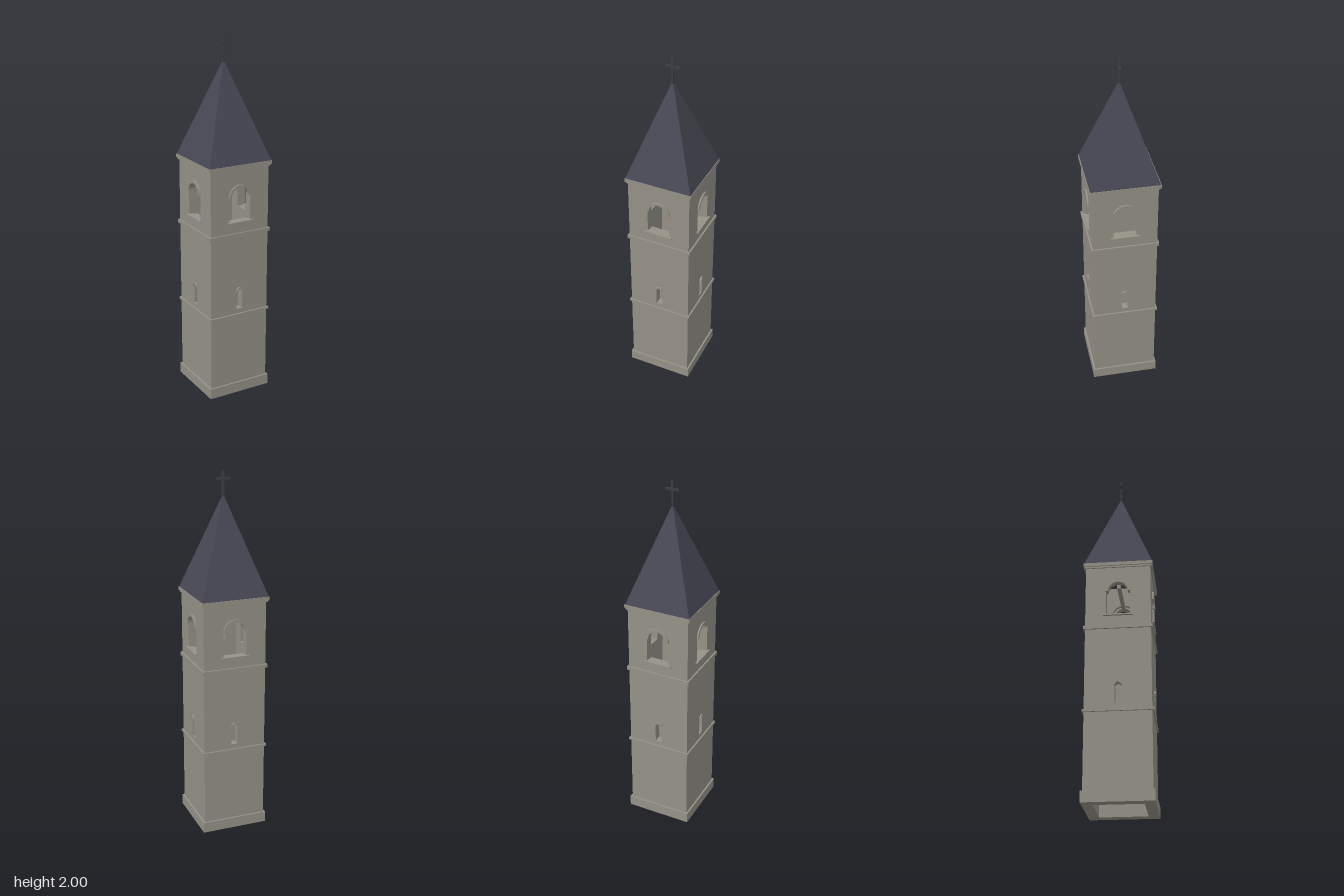
import * as THREE from 'three';

const OUT = 0.178, IN = 0.13;

export function createModel() {
  const stone = new THREE.MeshStandardMaterial({ color: 0x959187 });
  stone.name = 'stone';
  const slate = new THREE.MeshStandardMaterial({ color: 0x484856 });
  slate.name = 'slate';
  const iron = new THREE.MeshStandardMaterial({ color: 0x3c3c48 });
  iron.name = 'iron';

  const tower = new THREE.Group();
  tower.name = 'bellTower';

  const add = (parent, name, geometry, material, x = 0, y = 0, z = 0) => {
    const mesh = new THREE.Mesh(geometry, material);
    mesh.name = name;
    mesh.position.set(x, y, z);
    parent.add(mesh);
    return mesh;
  };
  const extrude = (shape, depth, curveSegments = 6) =>
    new THREE.ExtrudeGeometry(shape, { depth, bevelEnabled: false, curveSegments });

  // Round-headed opening outline; spring is the height where the arch begins
  const archPath = (r, bottom, spring) => {
    const p = new THREE.Path();
    p.moveTo(-r, bottom);
    p.lineTo(r, bottom);
    p.lineTo(r, spring);
    p.absarc(0, spring, r, 0, Math.PI, false);
    p.lineTo(-r, bottom);
    return p;
  };
  const rect = (shape, w, y0, y1) => {
    shape.moveTo(-w, y0);
    shape.lineTo(w, y0);
    shape.lineTo(w, y1);
    shape.lineTo(-w, y1);
    shape.closePath();
    return shape;
  };
  // Half ring over an opening
  const hood = (outer, inner, depth) => {
    const s = new THREE.Shape();
    s.moveTo(outer, 0);
    s.absarc(0, 0, outer, 0, Math.PI, false);
    s.lineTo(-inner, 0);
    s.absarc(0, 0, inner, Math.PI, 0, true);
    s.closePath();
    return extrude(s, depth, 7);
  };

  // Four walls, each with a belfry arch and a blind slit window
  for (let i = 0; i < 4; i++) {
    const side = new THREE.Group();
    side.name = ['front', 'left', 'back', 'right'][i] + 'Side';
    side.rotation.y = i * Math.PI / 2;
    tower.add(side);

    const wall = rect(new THREE.Shape(), i % 2 ? IN : OUT, 0.03, 1.33);
    wall.holes.push(archPath(0.065, 1.025, 1.168), archPath(0.018, 0.515, 0.622));
    add(side, 'wall', extrude(wall, OUT - IN, 10), stone, 0, 0, IN);
    add(side, 'slitBacking', new THREE.BoxGeometry(0.05, 0.15, 0.01), stone, 0, 0.577, IN);

    add(side, 'belfryArchHood', hood(0.068, 0.054, 0.037), stone, 0, 1.168, 0.15);
    add(side, 'belfrySill', new THREE.BoxGeometry(0.16, 0.008, 0.035), stone, 0, 1.025, 0.1725);
    add(side, 'slitHood', hood(0.021, 0.013, 0.027), stone, 0, 0.622, 0.16);
  }

  // Square bands around the shaft, left open in the middle
  const band = (name, half, y0, y1) => {
    const ring = rect(new THREE.Shape(), half, -half, half);
    ring.holes.push(rect(new THREE.Path(), IN, -IN, IN));
    const geometry = extrude(ring, y1 - y0).rotateX(-Math.PI / 2);
    add(tower, name, geometry, stone, 0, y0, 0);
  };
  band('plinth', 0.188, 0, 0.06);
  band('lowerStringCourse', 0.187, 0.475, 0.488);
  band('upperStringCourse', 0.187, 0.944, 0.964);
  band('corniceLower', 0.185, 1.315, 1.325);
  band('cornice', 0.191, 1.325, 1.345);

  // Beam across the belfry
  add(tower, 'bellBeam', new THREE.BoxGeometry(IN * 2, 0.022, 0.02), stone, 0, 1.22, 0);

  // Pyramid roof
  const roof = new THREE.ConeGeometry(0.188 * Math.SQRT2, 0.53, 4, 1).rotateY(Math.PI / 4).toNonIndexed();
  roof.computeVertexNormals();
  add(tower, 'roof', roof, slate, 0, 1.61, 0);

  // Finial cross
  add(tower, 'crossPost', new THREE.BoxGeometry(0.011, 0.15, 0.011), iron, 0, 1.925, 0);
  add(tower, 'crossBar', new THREE.BoxGeometry(0.076, 0.011, 0.011), iron, 0, 1.953, 0);

  return tower;
}
